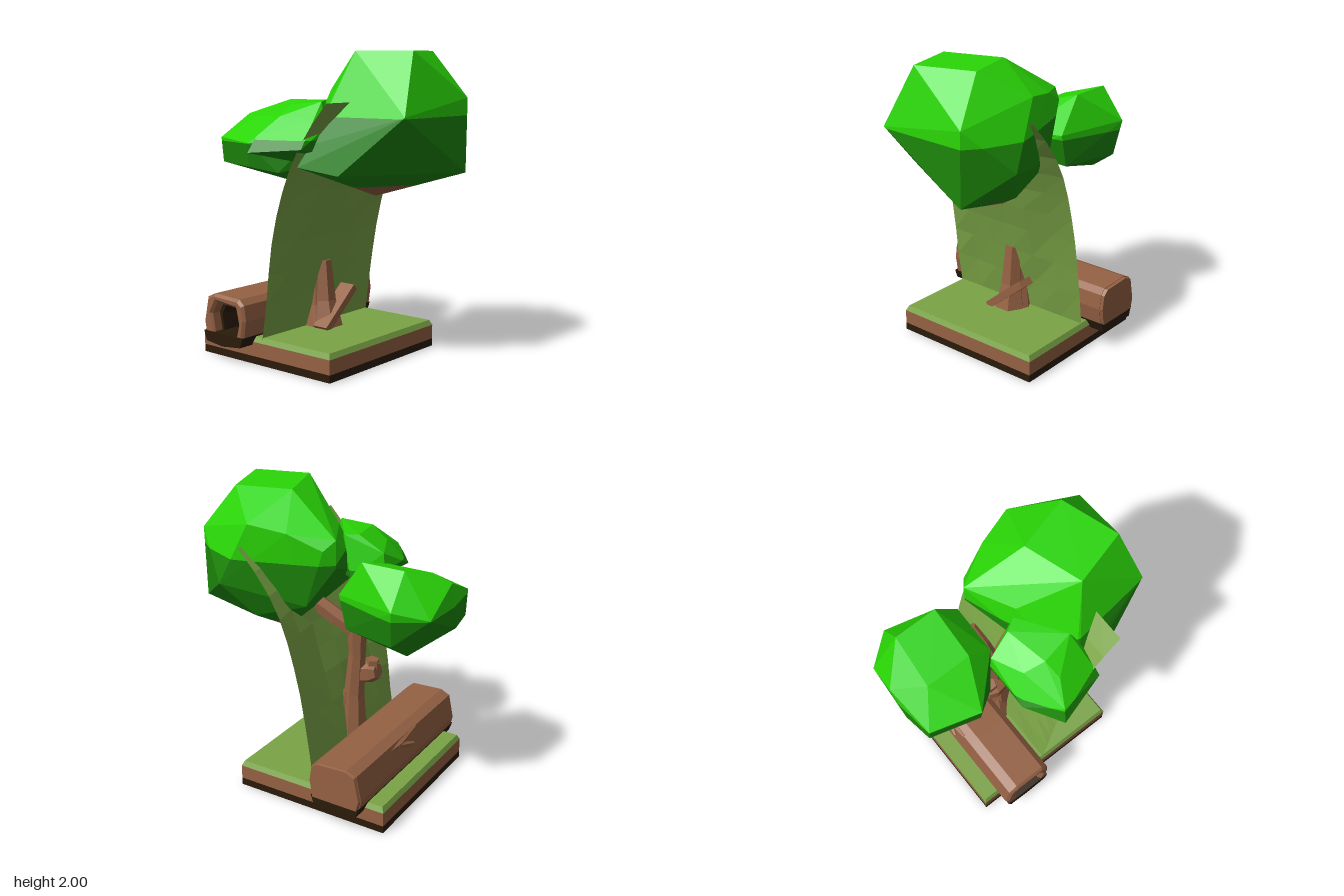
import * as THREE from 'three';
import { ConvexGeometry } from 'three/addons/geometries/ConvexGeometry.js';

const material = (name, color, side = THREE.FrontSide) => {
  const m = new THREE.MeshStandardMaterial({ color, side });
  m.name = name;
  return m;
};

// Facets a geometry so every face has its own normal
function faceted(geometry) {
  const g = geometry.index ? geometry.toNonIndexed() : geometry;
  g.computeVertexNormals();
  return g;
}

function add(parent, name, geometry, mat) {
  const mesh = new THREE.Mesh(faceted(geometry), mat);
  mesh.name = name;
  parent.add(mesh);
  return mesh;
}

const vectors = (list) => list.map((p) => new THREE.Vector3(...p));
const shapeOf = (list) => new THREE.Shape(list.map((p) => new THREE.Vector2(...p)));

// Tapered angular limb through stations [x, y, z, radius]
function limb(stations, sides = 6) {
  const pts = vectors(stations.map((s) => s.slice(0, 3)));
  const last = pts.length - 1;
  const whole = pts[last].clone().sub(pts[0]).normalize();
  const ref = Math.abs(whole.x) > 0.7 ? new THREE.Vector3(0, 0, 1) : new THREE.Vector3(1, 0, 0);
  const pos = [], index = [];
  pts.forEach((p, i) => {
    const t = pts[Math.min(i + 1, last)].clone().sub(pts[Math.max(i - 1, 0)]).normalize();
    const u = t.clone().cross(ref).normalize();
    const v = t.clone().cross(u);
    for (let j = 0; j < sides; j++) {
      const a = (j / sides) * Math.PI * 2;
      const q = p.clone().addScaledVector(u, Math.cos(a) * stations[i][3])
        .addScaledVector(v, Math.sin(a) * stations[i][3]);
      pos.push(q.x, q.y, q.z);
    }
  });
  for (let i = 0; i < last; i++) {
    for (let j = 0; j < sides; j++) {
      const a = i * sides + j, b = i * sides + (j + 1) % sides;
      index.push(a, b, a + sides, b, b + sides, a + sides);
    }
  }
  for (let j = 1; j < sides - 1; j++) {
    const e = last * sides;
    index.push(0, j + 1, j, e, e + j, e + j + 1);
  }
  const g = new THREE.BufferGeometry();
  g.setAttribute('position', new THREE.Float32BufferAttribute(pos, 3));
  g.setIndex(index);
  return g;
}

// Skin of a convex crown between two heights, without the flat cuts
function crownBand(points, y0, y1) {
  const kept = points.filter((p) => p.y >= y0 && p.y <= y1);
  for (const cut of [y0, y1]) {
    for (const a of points.filter((p) => p.y > cut)) {
      for (const b of points.filter((p) => p.y < cut)) {
        const q = a.clone().lerp(b, (a.y - cut) / (a.y - b.y));
        kept.push(q.setY(cut));
      }
    }
  }
  const p = new ConvexGeometry(kept).attributes.position;
  const pos = [];
  for (let i = 0; i < p.count; i += 3) {
    const flatAt = (cut) => [0, 1, 2].every((k) => Math.abs(p.getY(i + k) - cut) < 1e-4);
    if (flatAt(y0) || flatAt(y1)) continue;
    for (let k = 0; k < 3; k++) pos.push(p.getX(i + k), p.getY(i + k), p.getZ(i + k));
  }
  const g = new THREE.BufferGeometry();
  g.setAttribute('position', new THREE.Float32BufferAttribute(pos, 3));
  return g;
}

// Prism of an outline between two z positions, with optional chamfered ends
function prism(shape, z0, z1, chamfer = 0) {
  return new THREE.ExtrudeGeometry(shape, {
    depth: z1 - z0 - 2 * chamfer, bevelEnabled: chamfer > 0, bevelSegments: 1,
    bevelSize: chamfer, bevelThickness: chamfer, bevelOffset: -chamfer,
  }).translate(0, 0, z0 + chamfer);
}

export function createModel() {
  const model = new THREE.Group();
  model.name = 'forestTile';
  const leaf = material('leafGreen', 0x2ad606);
  const deepLeaf = material('deepLeafGreen', 0x1c860a);
  const moss = material('mossGreen', 0x7aa346);
  const mossSheet = material('mossSheetGreen', 0x7aa346, THREE.DoubleSide);
  const bark = material('barkBrown', 0x946143);
  const soil = material('darkSoil', 0x2a1b0a);

  // Ground slab in three layers
  const base = new THREE.Group();
  base.name = 'ground';
  base.position.set(-0.0975, 0, -0.0075);
  model.add(base);
  const layer = (name, y0, y1, mat, top = 1) => {
    const g = new THREE.BoxGeometry(1.095, y1 - y0, 1.095).translate(0, (y0 + y1) / 2, 0);
    const p = g.attributes.position;
    for (let i = 0; i < p.count; i++) {
      if (p.getY(i) > y1 - 1e-4) p.setXYZ(i, p.getX(i) * top, y1, p.getZ(i) * top);
    }
    add(base, name, g, mat);
  };
  layer('soilLayer', 0, 0.05, soil);
  layer('earthLayer', 0.05, 0.145, bark);
  layer('grassLayer', 0.145, 0.18, moss, 0.97);

  // Leaning moss sheet, bowed in the middle
  const lean = [[0.17, -0.12], [0.4, -0.09], [0.6, -0.06], [0.8, -0.025], [0.97, 0.015], [1.13, 0.06],
    [1.28, 0.115], [1.42, 0.19], [1.56, 0.295], [1.69, 0.415]];
  const rows = lean.length - 1;
  const sheet = new THREE.PlaneGeometry(1, 1, 6, rows);
  const sp = sheet.attributes.position;
  for (let i = 0; i < sp.count; i++) {
    const s = -sp.getX(i) * 2;
    const r = Math.round((sp.getY(i) + 0.5) * rows);
    const column = Math.round((s + 1) * 3);
    const bow = 0.055 * Math.sin(Math.PI * (r / rows) ** 1.3) * (1 - s * s);
    const crumple = r > 0 && r < rows ? 0.01 * Math.sin(column * 2.3) * Math.cos(r * 0.9) : 0;
    sp.setXYZ(i, lean[r][1] + bow + crumple, lean[r][0], -0.005 + s * 0.535);
  }
  add(model, 'mossSheet', sheet, mossSheet);

  // Trunk, roots and branches
  const tree = new THREE.Group();
  tree.name = 'tree';
  model.add(tree);
  add(tree, 'trunk', limb([[-0.075, 0.17, 0, 0.125], [-0.1, 0.32, 0, 0.09], [-0.1, 0.61, 0, 0.07],
    [-0.12, 0.9, 0, 0.058], [-0.12, 1.1, 0, 0.065]], 7), bark);
  add(tree, 'trunkStub', limb([[-0.03, 0.17, 0, 0.11], [-0.045, 0.35, 0, 0.075], [-0.06, 0.62, 0, 0.055]], 6), bark);
  const root = add(tree, 'plankRoot', new THREE.BoxGeometry(0.115, 0.05, 0.38), bark);
  root.position.set(0.02, 0.3, -0.03);
  root.rotation.x = 0.7;
  add(tree, 'sideRoot', limb([[-0.15, 0.16, 0.1, 0.04], [-0.13, 0.45, 0.03, 0.03]], 5), bark);
  const branches = {
    leftBranch: [[-0.12, 1.05, 0, 0.055], [-0.2, 1.12, 0, 0.05], [-0.28, 1.16, 0.02, 0.045], [-0.32, 1.28, 0.03, 0.025]],
    forkTwig: [[-0.2, 1.12, 0, 0.035], [-0.18, 1.25, 0.06, 0.025]],
    frontBranch: [[-0.12, 1.05, 0, 0.055], [-0.11, 1.25, 0.06, 0.042], [-0.11, 1.42, 0.14, 0.03], [-0.08, 1.55, 0.22, 0.02]],
    rightBranch: [[-0.11, 1.06, 0, 0.055], [0.02, 1.14, -0.03, 0.06], [0.14, 1.22, -0.06, 0.06], [0.27, 1.32, -0.09, 0.04]],
    backBranch: [[-0.12, 1.08, 0, 0.04], [-0.14, 1.28, -0.08, 0.03], [-0.16, 1.42, -0.17, 0.02]],
  };
  for (const [name, stations] of Object.entries(branches)) add(tree, name, limb(stations), bark);

  // Knot with a short stub on the trunk
  add(tree, 'knot', limb([[-0.12, 0.76, 0.03, 0.085], [-0.2, 0.77, 0.05, 0.08], [-0.25, 0.78, 0.05, 0.055]]), bark);
  add(tree, 'knotStub', limb([[-0.2, 0.78, 0.05, 0.05], [-0.21, 0.86, 0.05, 0.045]], 5), bark);

  // Faceted leaf crowns: bright tops, deep green undersides, brown where a branch meets the large one
  const crowns = {
    largeCrown: { bands: [[bark, 1, 1.145], [deepLeaf, 1.145, 1.6], [leaf, 1.6, 3]],
      points: [[0.25, 2, -0.18], [0.61, 2, -0.28], [0.73, 2, 0.1], [0.37, 2, 0.2],
        [-0.13, 1.76, -0.28], [-0.13, 1.58, -0.28], [-0.08, 1.7, -0.35], [0.13, 1.8, -0.43], [0.37, 1.84, -0.5],
        [0.57, 1.43, -0.545], [0.83, 1.71, -0.35], [0.83, 1.24, -0.34], [0.81, 1.61, 0.29], [0.42, 1.61, 0.31],
        [0.42, 1.25, 0.43], [0.14, 1.29, 0.48], [0.21, 1.43, 0.43], [0.03, 1.76, 0.02], [0.02, 1.5, 0.04],
        [0.12, 1.28, -0.02], [0.25, 1.06, -0.17], [0.04, 1.32, -0.36], [0.4, 1.2, -0.4]] },
    leftCrown: { bands: [[deepLeaf, 1, 1.395], [leaf, 1.395, 3]],
      points: [[-0.62, 1.67, -0.31], [-0.33, 1.67, -0.31], [-0.33, 1.56, 0.02], [-0.64, 1.56, 0.02],
        [-0.83, 1.57, -0.1], [-0.62, 1.46, -0.47], [-0.17, 1.43, -0.31], [-0.17, 1.4, 0.02], [-0.22, 1.21, -0.31],
        [-0.18, 1.24, 0], [-0.3, 1.2, 0.18], [-0.46, 1.4, 0.31], [-0.46, 1.24, 0.29], [-0.79, 1.42, 0.22],
        [-0.79, 1.25, 0.2], [-0.82, 1.24, 0], [-0.81, 1.4, -0.33], [-0.62, 1.1, -0.25], [-0.6, 1.22, -0.42]] },
    frontCrown: { bands: [[deepLeaf, 1, 1.46], [leaf, 1.46, 3]],
      points: [[-0.08, 1.69, 0.08], [0, 1.69, 0.03], [0.12, 1.69, 0.22], [0.2, 1.69, 0.32], [-0.02, 1.67, 0.36],
        [-0.24, 1.58, 0.12], [-0.15, 1.6, 0.32], [0, 1.6, 0.48], [0.22, 1.58, 0.42], [0.26, 1.53, 0.36],
        [0.25, 1.41, 0.57], [-0.1, 1.38, 0.67], [-0.07, 1.48, 0.62], [-0.25, 1.42, 0.44], [-0.25, 1.44, 0.12],
        [-0.03, 1.31, 0.35], [0.19, 1.36, 0.25], [-0.06, 1.41, 0.01]] },
  };
  for (const [name, { bands, points }] of Object.entries(crowns)) {
    const crown = new THREE.Group();
    crown.name = name;
    model.add(crown);
    for (const [mat, y0, y1] of bands) add(crown, `${name}Band`, crownBand(vectors(points), y0, y1), mat);
  }

  // Hollow fallen log with a dark underside
  const log = new THREE.Group();
  log.name = 'fallenLog';
  model.add(log);
  const hole = [[-0.25, 0.175], [-0.225, 0.27], [-0.25, 0.375], [-0.42, 0.39], [-0.465, 0.31], [-0.44, 0.175]];
  const upper = [[-0.185, 0.175], [-0.165, 0.3], [-0.18, 0.4], [-0.22, 0.435], [-0.44, 0.445],
    [-0.505, 0.415], [-0.54, 0.25], [-0.522, 0.175]];
  const lower = [[-0.2, 0.125], [-0.178, 0.19], [-0.528, 0.19], [-0.505, 0.125], [-0.36, 0.108]];
  add(log, 'logShell', prism(shapeOf([...upper, ...hole.slice().reverse()]), 0.18, 0.65, 0.018), bark);
  add(log, 'logUnderside', prism(shapeOf(lower), -0.665, 0.655), soil);
  add(log, 'logBody', prism(shapeOf(upper), -0.65, 0.2), bark);
  add(log, 'hollowBack', prism(shapeOf(hole), 0.195, 0.22), soil);
  // Dark lining, slightly inside the hollow
  const inner = hole.map(([x, y], i) => [-0.345 + (x + 0.345) * 0.8, i % 5 ? 0.175 + (y - 0.175) * 0.88 : y]);
  add(log, 'hollowLining', prism(shapeOf([...hole, ...inner.slice().reverse()]), 0.21, 0.57), soil);
  // Rear end, drawn in a little
  const cap = (outline, z, k) => outline.map(([x, y]) => [-0.35 + (x + 0.35) * k, 0.28 + (y - 0.28) * k, z]);
  add(log, 'logEnd', new ConvexGeometry(vectors([...cap(upper, -0.64, 0.999), ...cap(upper, -0.67, 0.95)])), bark);
  // Broken twigs lying along the log
  add(log, 'logTwig', limb([[-0.46, 0.37, -0.35, 0.035], [-0.49, 0.38, -0.1, 0.04], [-0.5, 0.41, 0.12, 0.012]], 5), bark);
  add(log, 'logTwigTip', limb([[-0.49, 0.37, -0.12, 0.035], [-0.53, 0.32, 0.05, 0.012]], 5), bark);

  return model;
}
